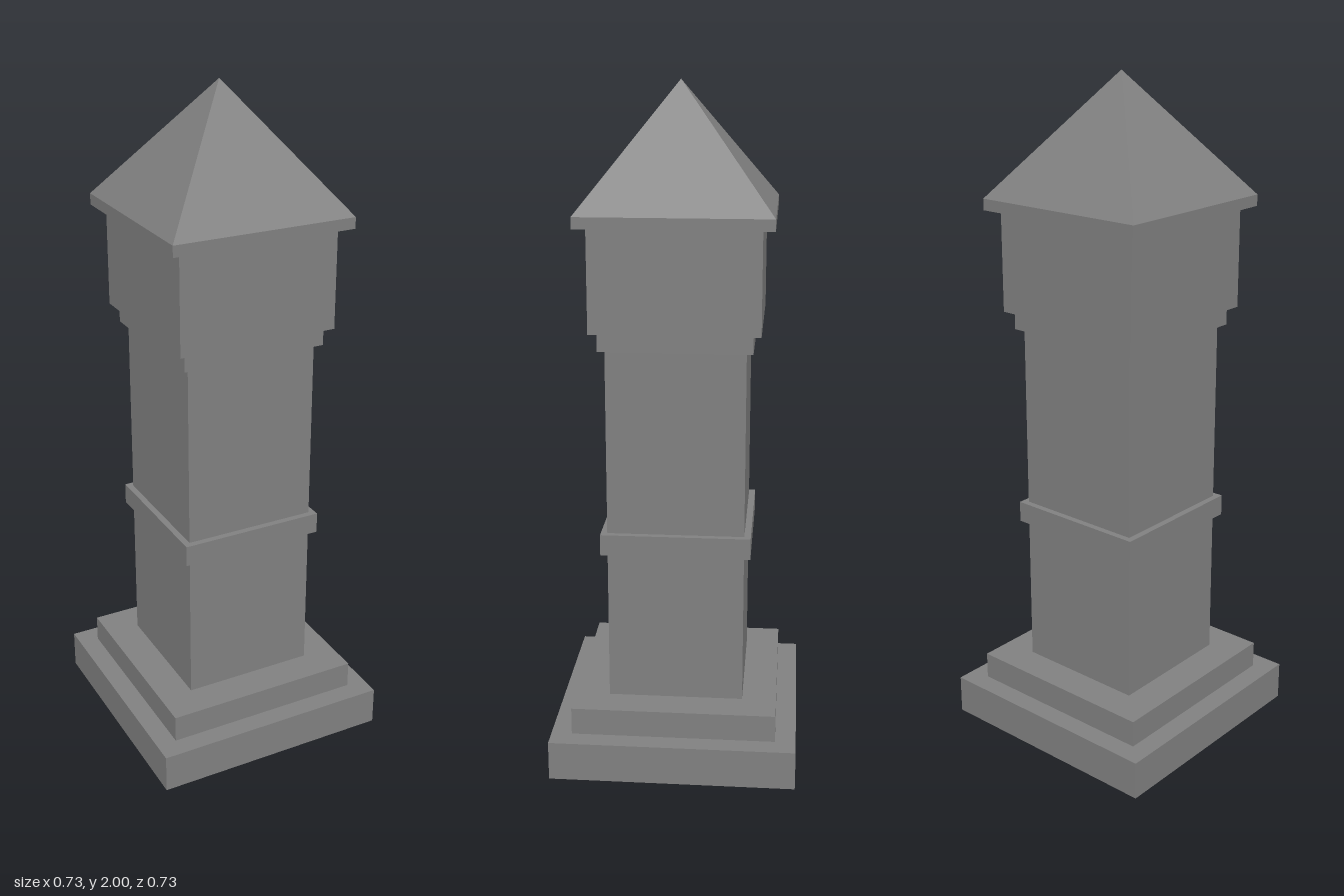
import * as THREE from 'three';

const stone = new THREE.MeshStandardMaterial({ color: 0x808080, side: THREE.DoubleSide });
stone.name = 'grey stone';

export function createModel() {
  const model = new THREE.Group();
  model.name = 'pillar';

  // Adds a square block of the given half width between two heights
  function block(name, half, bottom, top) {
    const geometry = new THREE.BoxGeometry(half * 2, top - bottom, half * 2);
    const mesh = new THREE.Mesh(geometry, stone);
    mesh.name = name;
    mesh.position.y = (bottom + top) / 2;
    model.add(mesh);
    return mesh;
  }

  // Plinth is hollow: drop the downward face (fourth side of the box)
  const plinth = block('plinth', 0.363, 0, 0.118);
  const index = Array.from(plinth.geometry.index.array);
  index.splice(18, 6);
  plinth.geometry.setIndex(index);
  plinth.geometry.clearGroups();

  block('step', 0.302, 0.118, 0.2);
  block('shaft', 0.2, 0.2, 1.267);
  block('middleBand', 0.219, 0.657, 0.72);
  block('collar', 0.219, 1.267, 1.32);
  block('head', 0.241, 1.32, 1.617);
  block('eave', 0.275, 1.617, 1.65);

  // Pyramid roof with flat faces
  const cone = new THREE.ConeGeometry(0.275 * Math.SQRT2, 0.35, 4, 1, true);
  cone.rotateY(Math.PI / 4);
  const roofGeometry = cone.toNonIndexed();
  roofGeometry.computeVertexNormals();
  const roof = new THREE.Mesh(roofGeometry, stone);
  roof.name = 'roof';
  roof.position.y = 1.825;
  model.add(roof);

  return model;
}
